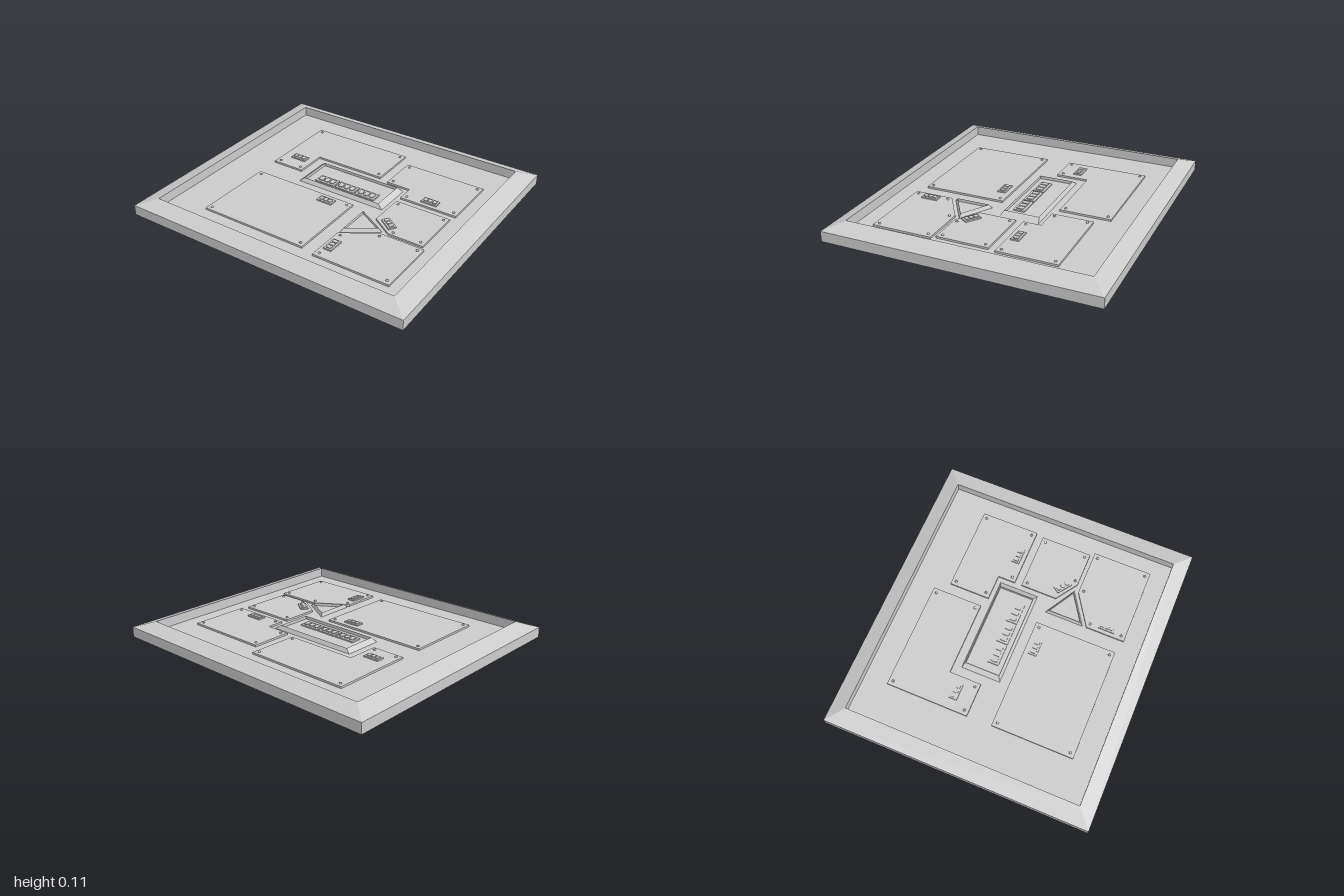
import * as THREE from 'three';

const mat = new THREE.MeshStandardMaterial({ color: 0xcccccc, flatShading: true });
const FLOOR = 0.045, PANEL = 0.058;

function add(parent, geometry, name, x = 0, y = 0, z = 0) {
  const mesh = new THREE.Mesh(geometry, mat);
  mesh.name = name;
  mesh.position.set(x, y, z);
  parent.add(mesh);
  return mesh;
}

// Rectangle corners, counter-clockwise seen from above
const rect = (x0, x1, z0, z1) => [[x0, z1], [x1, z1], [x1, z0], [x0, z0]];

// Skin through stacked convex loops [corners, height], closed at both ends
function loft(loops) {
  const pos = [];
  const pt = (i, j) => {
    const [corners, y] = loops[i];
    const [x, z] = corners[j % corners.length];
    return [x, y, z];
  };
  const n = loops[0][0].length, last = loops.length - 1;
  for (let i = 0; i < last; i++) {
    for (let j = 0; j < n; j++) {
      const a = pt(i, j), b = pt(i, j + 1), c = pt(i + 1, j + 1), d = pt(i + 1, j);
      pos.push(...a, ...b, ...c, ...a, ...c, ...d);
    }
  }
  for (let j = 1; j < n - 1; j++) {
    pos.push(...pt(last, 0), ...pt(last, j), ...pt(last, j + 1));
    pos.push(...pt(0, 0), ...pt(0, j + 1), ...pt(0, j));
  }
  const g = new THREE.BufferGeometry();
  g.setAttribute('position', new THREE.Float32BufferAttribute(pos, 3));
  g.computeVertexNormals();
  return g;
}

// Flat plate from an outline in x, z
function plate(points, depth) {
  const shape = new THREE.Shape(points.map(([x, z]) => new THREE.Vector2(x, -z)));
  return new THREE.ExtrudeGeometry(shape, { depth, bevelEnabled: false }).rotateX(-Math.PI / 2);
}

// Small block carrying three number wheels with clipped corners
function counter(parent, x, y, z, w, d, angle = 0) {
  const group = new THREE.Group();
  group.name = 'counter';
  group.position.set(x, y, z);
  group.rotation.y = angle;
  parent.add(group);
  const base = 0.009;
  add(group, new THREE.BoxGeometry(w, base, d), 'counterBlock', 0, base / 2, 0);
  const a = w * 0.115, b = d * 0.3, k = a * 0.3;
  const wheel = plate([
    [-a + k, b], [a - k, b], [a, b - k], [a, -b + k],
    [a - k, -b], [-a + k, -b], [-a, -b + k], [-a, b - k],
  ], 0.006);
  for (const i of [-1, 0, 1]) add(group, wheel, 'counterWheel', i * w * 0.29, base, 0);
}

export function createModel() {
  const root = new THREE.Group();
  root.name = 'controlBoard';

  // Tray with sloping rim and sunken floor
  const outer = rect(-1, 1, -0.905, 0.905), inner = rect(-0.88, 0.88, -0.8, 0.8);
  add(root, loft([[outer, 0], [outer, 0.07], [inner, 0.11], [inner, FLOOR]]), 'tray');

  // Floor panels, with the spots of their corner screws
  const panels = [
    { name: 'backLeftPanel',
      outline: [[-0.62, -0.64], [0.115, -0.64], [0.115, -0.295], [-0.39, -0.295], [-0.39, -0.075], [-0.62, -0.075]],
      screws: [[-0.59, -0.61], [0.085, -0.61], [0.085, -0.325], [-0.42, -0.105], [-0.59, -0.105]] },
    { name: 'backRightPanel',
      outline: [[0.185, -0.55], [0.765, -0.55], [0.765, -0.15], [0.36, -0.15], [0.36, -0.27], [0.185, -0.27]],
      screws: [[0.215, -0.52], [0.735, -0.52], [0.735, -0.18], [0.39, -0.18], [0.215, -0.3]] },
    { name: 'middleRightPanel',
      outline: [[0.36, -0.1], [0.75, -0.1], [0.75, 0.25], [0.51, 0.25], [0.36, 0.15]],
      screws: [[0.39, -0.07], [0.72, -0.07], [0.72, 0.22], [0.53, 0.225]] },
    { name: 'frontRightPanel',
      outline: [[0.46, 0.275], [0.775, 0.275], [0.775, 0.68], [0.245, 0.68], [0.245, 0.415]],
      screws: [[0.48, 0.305], [0.745, 0.305], [0.745, 0.65], [0.275, 0.65], [0.275, 0.43]] },
    { name: 'frontLeftPanel',
      outline: rect(-0.615, 0.15, 0.095, 0.655),
      screws: rect(-0.585, 0.12, 0.125, 0.625) },
  ];
  const screw = new THREE.SphereGeometry(0.009, 10, 4, 0, Math.PI * 2, 0, Math.PI / 2);
  for (const { name, outline, screws } of panels) {
    add(root, plate(outline, PANEL - FLOOR), name, 0, FLOOR, 0);
    for (const [x, z] of screws) add(root, screw, 'screw', x, PANEL, z);
  }

  // Panel counters
  counter(root, -0.495, PANEL, -0.205, 0.112, 0.056);
  counter(root, 0.553, PANEL, -0.205, 0.112, 0.056);
  counter(root, -0.02, PANEL, 0.156, 0.112, 0.056);
  counter(root, 0.46, PANEL, 0.16, 0.112, 0.056, -0.62);
  counter(root, 0.297, PANEL, 0.545, 0.112, 0.056, Math.PI / 2);

  // Central display: sloping frame around three larger counters
  const frameOut = rect(-0.328, 0.328, -0.24, 0.03), frameIn = rect(-0.295, 0.29, -0.225, 0.013);
  add(root, loft([[frameOut, FLOOR], [frameIn, 0.072], [frameIn, 0.05]]), 'displayFrame');
  for (const i of [-1, 0, 1]) counter(root, i * 0.157, 0.05, -0.06, 0.146, 0.077);

  // Triangular marker with a sunken face
  const triOut = [[0.245, 0.388], [0.462, 0.246], [0.245, 0.12]];
  const triIn = [[0.256, 0.367], [0.441, 0.246], [0.256, 0.139]];
  add(root, loft([[triOut, FLOOR], [triIn, 0.07], [triIn, 0.05]]), 'triangleMarker');

  return root;
}
